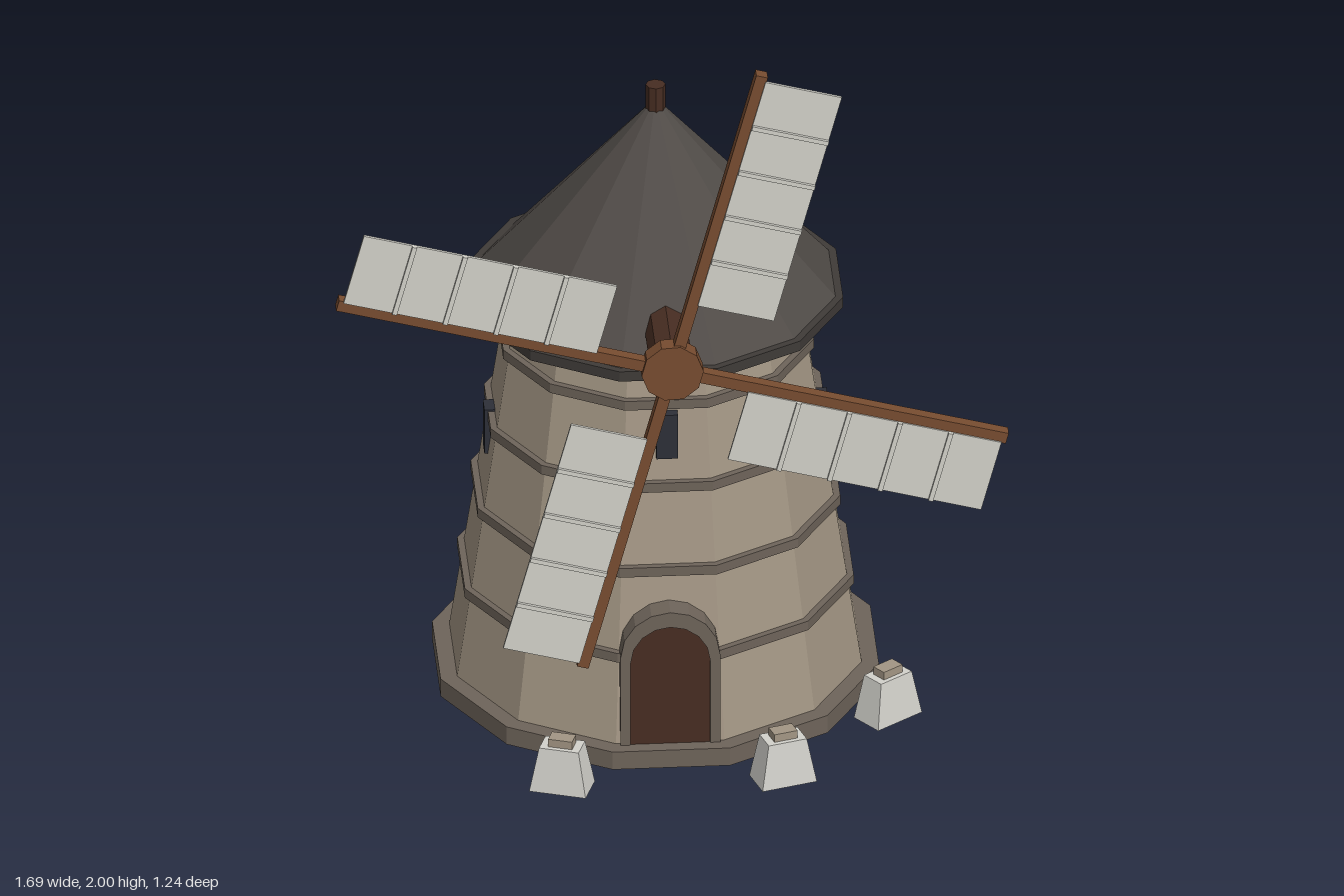
import * as THREE from 'three';

const mat = (name, color) => {
  const m = new THREE.MeshStandardMaterial({ color, flatShading: true });
  m.name = name;
  return m;
};

export function createModel() {
  const wall = mat('wall stone', 0xa39684);
  const trim = mat('trim stone', 0x6e645a);
  const roofing = mat('roof slate', 0x504b47);
  const eave = mat('eave dark slate', 0x3f3b38);
  const timber = mat('spar timber', 0x774c30);
  const darkWood = mat('dark wood', 0x472d22);
  const canvas = mat('sail canvas', 0xd3d2ca);
  const glass = mat('window dark', 0x2d2f38);
  const pale = mat('pale stone', 0xd3d2cc);

  const model = new THREE.Group();
  model.name = 'windmill';
  const add = (parent, name, geo, material, x = 0, y = 0, z = 0) => {
    const mesh = new THREE.Mesh(geo, material);
    mesh.name = name;
    mesh.position.set(x, y, z);
    parent.add(mesh);
    return mesh;
  };

  // Twelve-sided tower; sizes are given across the flats
  const tower = new THREE.Group();
  tower.name = 'tower';
  tower.position.z = -0.07;
  model.add(tower);
  const ring = (name, top, bottom, y0, y1, material) => {
    const k = 1 / Math.cos(Math.PI / 12);
    const geo = new THREE.CylinderGeometry(top * k, bottom * k, y1 - y0, 12).rotateY(Math.PI / 12);
    return add(tower, name, geo, material, 0, (y0 + y1) / 2, 0);
  };
  const wallAt = (y) => 0.515 - 0.147 * y;
  ring('plinth', 0.55, 0.55, 0, 0.05, trim);
  ring('towerWall', wallAt(1.075), wallAt(0.04), 0.04, 1.075, wall);
  for (const y of [0.285, 0.51, 0.733, 0.953]) {
    const r = wallAt(y) + 0.015;
    ring('stoneBand', r, r, y - 0.013, y + 0.013, trim);
  }

  // Roof
  ring('eave', 0.462, 0.462, 1.065, 1.093, eave);
  ring('roof', 0.001, 0.443, 1.093, 1.615, roofing);
  add(tower, 'finial', new THREE.CylinderGeometry(0.025, 0.025, 0.1, 8), darkWood, 0, 1.605, 0);

  // Windows on the four sides, the front one higher
  for (let i = 0; i < 4; i++) {
    const y = i === 0 ? 0.868 : 0.688;
    const side = new THREE.Group();
    side.name = 'windowSide';
    side.rotation.y = (i * Math.PI) / 2;
    tower.add(side);
    add(side, 'window', new THREE.BoxGeometry(0.054, 0.125, 0.035), glass, 0, y, wallAt(y));
  }

  // Arched door and its surround
  const arch = (Type, r, spring, bottom) => {
    const s = new Type();
    s.moveTo(-r, bottom);
    s.lineTo(r, bottom);
    for (let i = 0; i <= 8; i++) {
      const a = (i * Math.PI) / 8;
      s.lineTo(r * Math.cos(a), spring + r * Math.sin(a));
    }
    return s;
  };
  const extrude = (shape, depth) => new THREE.ExtrudeGeometry(shape, { depth, bevelEnabled: false });
  const surround = arch(THREE.Shape, 0.125, 0.302, 0.04);
  surround.holes.push(arch(THREE.Path, 0.1, 0.285, 0.045));
  add(model, 'doorSurround', extrude(surround, 0.098), trim, 0, 0, 0.35);
  add(model, 'door', extrude(arch(THREE.Shape, 0.1, 0.285, 0.045), 0.094), darkWood, 0, 0, 0.35);

  // Axle and rotor
  const hubY = 1.157;
  add(model, 'axle', new THREE.CylinderGeometry(0.054, 0.054, 0.5, 8).rotateX(Math.PI / 2),
    darkWood, 0, hubY, 0.24);
  const rotor = new THREE.Group();
  rotor.name = 'rotor';
  rotor.position.set(0, hubY, 0.5);
  rotor.rotation.z = -Math.PI / 12;
  model.add(rotor);
  add(rotor, 'hub', new THREE.CylinderGeometry(0.078, 0.078, 0.046, 10).rotateX(Math.PI / 2),
    timber, 0, 0, 0.002);
  for (let i = 0; i < 4; i++) {
    const blade = new THREE.Group();
    blade.name = 'blade';
    blade.rotation.z = (i * Math.PI) / 2;
    rotor.add(blade);
    add(blade, 'spar', new THREE.BoxGeometry(0.03, 0.87, 0.032), timber, 0, 0.435, 0);
    add(blade, 'sail', new THREE.BoxGeometry(0.198, 0.658, 0.008), canvas, 0.111, 0.529, 0.016);
    for (let j = 1; j < 5; j++) {
      add(blade, 'batten', new THREE.BoxGeometry(0.198, 0.012, 0.01), canvas,
        0.111, 0.2 + 0.658 * j / 5, 0.023);
    }
  }

  // Tapered marker stones with small caps
  for (const [x, z, turn] of [[-0.28, 0.555, -0.33], [0.275, 0.555, 0.3], [0.56, 0.252, 0.65]]) {
    const stone = new THREE.Group();
    stone.name = 'markerStone';
    stone.position.set(x, 0, z);
    stone.rotation.y = turn;
    model.add(stone);
    const geo = new THREE.CylinderGeometry(0.7 * Math.SQRT1_2, Math.SQRT1_2, 0.12, 4)
      .rotateY(Math.PI / 4).scale(0.146, 1, 0.092);
    add(stone, 'stoneBody', geo, pale, 0, 0.06, 0);
    add(stone, 'stoneCap', new THREE.BoxGeometry(0.062, 0.025, 0.04), wall, 0, 0.129, 0);
  }
  return model;
}
